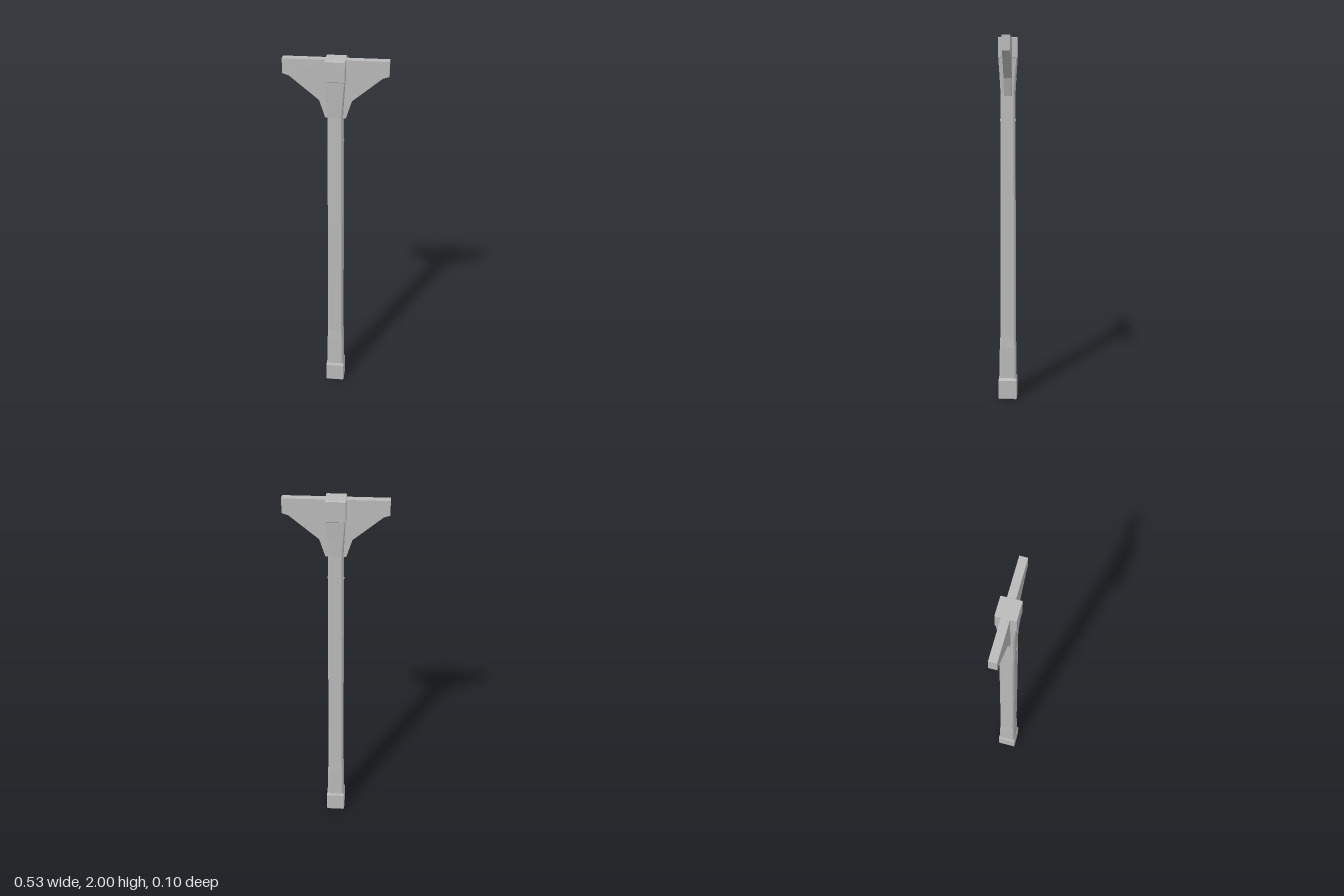
import * as THREE from 'three';

// Loft of chamfered squares: each ring is [y, half width, corner chamfer]
function loftPost(rings) {
  const pos = [];
  const loop = ([y, h, c]) => [
    [h, h - c], [h - c, h], [c - h, h], [-h, h - c],
    [-h, c - h], [c - h, -h], [h - c, -h], [h, c - h],
  ].map(([x, z]) => [x, y, z]);
  const loops = rings.map(loop);
  for (let r = 0; r < loops.length - 1; r++) {
    for (let i = 0; i < 8; i++) {
      const j = (i + 1) % 8;
      const a = loops[r][i], b = loops[r][j], c = loops[r + 1][j], d = loops[r + 1][i];
      pos.push(...a, ...c, ...b, ...a, ...d, ...c);
    }
  }
  // End caps
  const bottom = loops[0], top = loops[loops.length - 1];
  for (let i = 1; i < 7; i++) {
    pos.push(...bottom[0], ...bottom[i], ...bottom[i + 1]);
    pos.push(...top[0], ...top[i + 1], ...top[i]);
  }
  const g = new THREE.BufferGeometry();
  g.setAttribute('position', new THREE.Float32BufferAttribute(pos, 3));
  g.computeVertexNormals();
  return g;
}

export function createModel() {
  const group = new THREE.Group();
  group.name = 'bracketedPost';
  const grey = new THREE.MeshStandardMaterial({ color: 0xbababa });
  grey.name = 'grey';

  const add = (geometry, name) => {
    const mesh = new THREE.Mesh(geometry, grey);
    mesh.name = name;
    group.add(mesh);
    return mesh;
  };

  // Post: foot block, slightly waisted shaft and flared head
  add(loftPost([
    [0, 0.049, 0.004], [0.004, 0.052, 0.004], [0.108, 0.052, 0.004],
    [0.122, 0.046, 0.007], [0.3, 0.045, 0.008], [0.36, 0.042, 0.008],
    [1.05, 0.041, 0.008], [1.7, 0.039, 0.008], [1.78, 0.043, 0.007],
    [1.89, 0.05, 0.004], [1.893, 0.052, 0.003], [1.997, 0.052, 0.003], [2, 0.05, 0.003],
  ]), 'post');

  // Bracket wings, mirrored on each side
  for (const s of [1, -1]) {
    const outline = [
      [0.03, 1.997], [0.267, 1.997], [0.267, 1.92], [0.235, 1.91],
      [0.083, 1.785], [0.053, 1.692], [0.03, 1.692],
    ].map(([x, y]) => new THREE.Vector2(s * x, y));
    const geometry = new THREE.ExtrudeGeometry(new THREE.Shape(outline), {
      depth: 0.042, bevelEnabled: false,
    });
    geometry.translate(0, 0, -0.022);
    add(geometry, s > 0 ? 'leftBracket' : 'rightBracket');
  }

  // Small pegs pinning the joints
  const peg = (y, reach, axis, name) => {
    const geometry = new THREE.CylinderGeometry(0.006, 0.006, reach * 2, 8);
    const mesh = add(geometry, name);
    if (axis === 'x') mesh.rotation.z = Math.PI / 2;
    else mesh.rotation.x = Math.PI / 2;
    mesh.position.y = y;
  };
  peg(1.78, 0.046, 'z', 'bracketPeg');
  peg(1.56, 0.043, 'z', 'shaftPegFront');
  peg(1.56, 0.043, 'x', 'shaftPegSide');

  return group;
}
